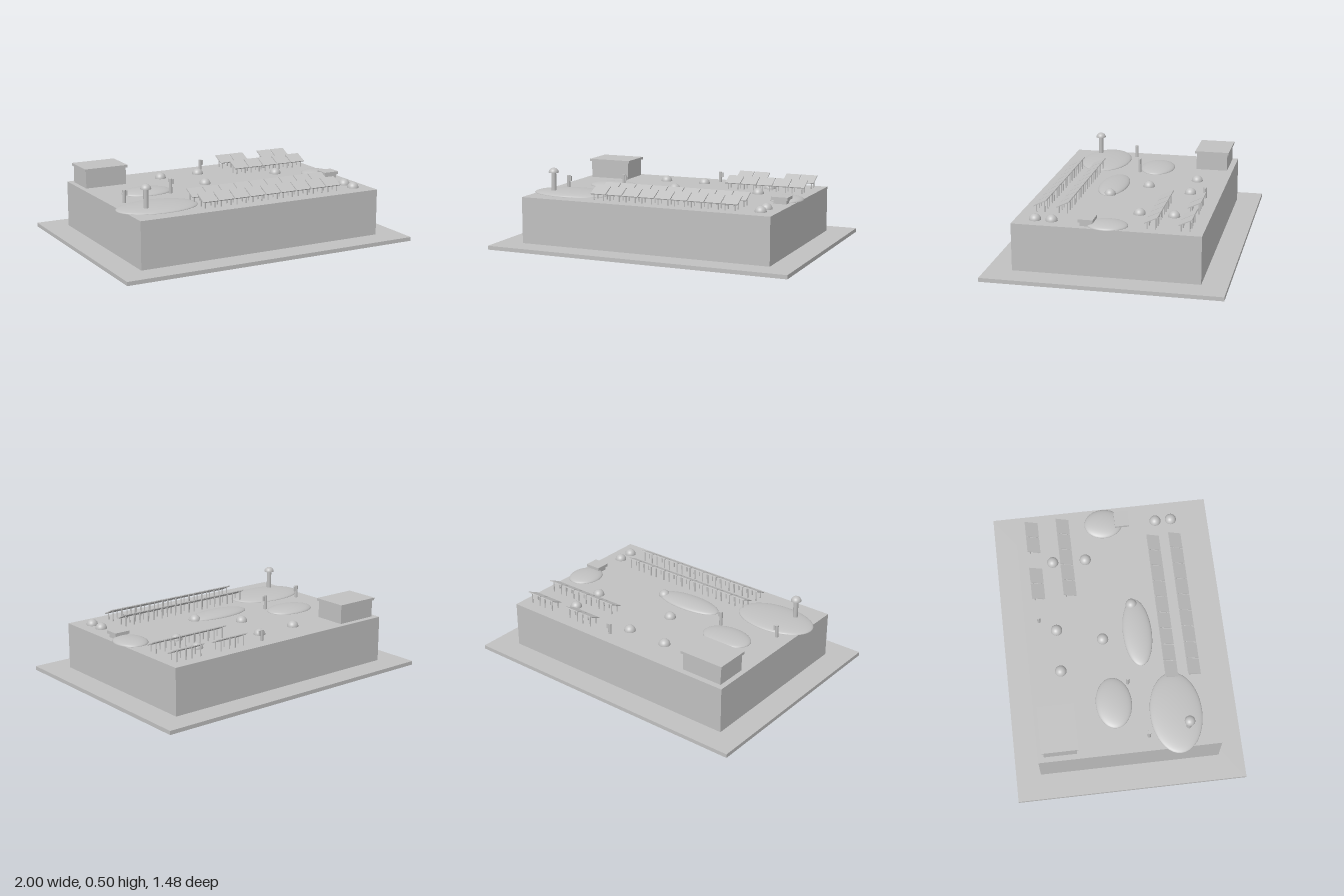
import * as THREE from 'three';

export function createModel() {
  const model = new THREE.Group();
  const grey = new THREE.MeshStandardMaterial({ color: 0xc0c0c0, side: THREE.DoubleSide });
  grey.name = 'plain grey';
  const GROUND = 0.325;

  const add = (name, geometry, x, y, z, parent = model) => {
    const mesh = new THREE.Mesh(geometry, grey);
    mesh.name = name;
    mesh.position.set(x, y, z);
    parent.add(mesh);
    return mesh;
  };
  // box given by its bottom centre
  const block = (name, w, h, d, x, y, z, parent) =>
    add(name, new THREE.BoxGeometry(w, h, d), x, y + h / 2, z, parent);
  const post = (name, r, h, x, y, z, parent) =>
    add(name, new THREE.CylinderGeometry(r, r, h, 12), x, y + h / 2, z, parent);
  // upper half of an ellipsoid
  const dome = (name, rx, h, rz, x, y, z, parent) => {
    const g = new THREE.SphereGeometry(1, 40, 12, 0, Math.PI * 2, 0, Math.PI / 2);
    return add(name, g.scale(rx, h, rz), x, y, z, parent);
  };

  // ground slab and raised terrain
  block('baseSlab', 2, 0.025, 1.48, 0, 0, 0);
  block('raisedGround', 1.674, 0.3, 1.16, 0, 0.025, 0);

  // low mounds: x, z, radius x, radius z
  [[-0.5, -0.067, 0.168, 0.115], [-0.607, 0.318, 0.267, 0.166],
    [-0.043, 0.139, 0.23, 0.094], [0.749, 0.005, 0.104, 0.126]]
    .forEach(([x, z, rx, rz]) => dome('mound', rx, 0.028, rz, x, GROUND, z));

  // round bushes
  [[-0.25, -0.38], [0.03, -0.38], [0.508, -0.358], [0.503, -0.142],
    [-0.064, -0.09], [0.155, 0.123], [0.733, 0.353], [0.733, 0.457]]
    .forEach(([x, z]) => dome('bush', 0.037, 0.037, 0.037, x, GROUND, z));

  // domed tower
  const tower = new THREE.Group();
  tower.name = 'domedTower';
  tower.position.set(-0.711, GROUND, 0.385);
  post('towerShaft', 0.016, 0.14, 0, 0, 0, tower);
  dome('towerCap', 0.033, 0.031, 0.033, 0, 0.139, 0, tower);
  add('towerCapUnderside', new THREE.CircleGeometry(0.033, 32).rotateX(Math.PI / 2), 0, 0.139, 0, tower);
  model.add(tower);

  // small upright markers with a nub on one side: x, z, top
  [[0.104, -0.487, 0.395], [-0.377, 0.036, 0.42], [-0.741, 0.13, 0.407]].forEach(([x, z, top]) => {
    const marker = new THREE.Group();
    marker.name = 'marker';
    marker.position.set(x, GROUND, z);
    const h = top - GROUND;
    post('markerPost', 0.011, h, 0, 0, 0, marker);
    block('markerNub', 0.012, 0.032, 0.01, 0.016, h - 0.037, 0, marker);
    model.add(marker);
  });

  // building with overhanging roof
  block('buildingWalls', 0.28, 0.113, 0.21, -0.663, GROUND, -0.437);
  block('buildingRoof', 0.3, 0.017, 0.23, -0.663, 0.437, -0.437);

  // small hut
  block('hutWalls', 0.085, 0.025, 0.075, 0.754, GROUND, 0.127);
  block('hutRoof', 0.106, 0.02, 0.094, 0.754, 0.349, 0.127);

  // tilted panels on thin legs, high edge to the back
  const tilt = Math.atan2(0.038, 0.078);
  const addPanel = (x, z) => {
    const panel = new THREE.Group();
    panel.name = 'tiltedPanel';
    panel.position.set(x, GROUND, z);
    const plate = add('panelPlate', new THREE.BoxGeometry(0.104, 0.006, 0.091), 0, 0.06, 0, panel);
    plate.rotation.x = tilt;
    for (const side of [-1, 1]) {
      post('frontLeg', 0.004, 0.045, side * 0.033, 0, 0.027, panel);
      post('backLeg', 0.004, 0.07, side * 0.033, 0, -0.025, panel);
    }
    model.add(panel);
  };
  const PITCH = 0.1105;
  for (const z of [0.318, 0.463]) {
    for (let i = 0; i < 9; i++) addPanel(-0.333 + i * PITCH, z);
  }
  for (let i = 0; i < 5; i++) {
    addPanel(0.292 + i * PITCH, -0.267);
    if (i !== 2) addPanel(0.292 + i * PITCH, -0.473);
  }

  return model;
}
